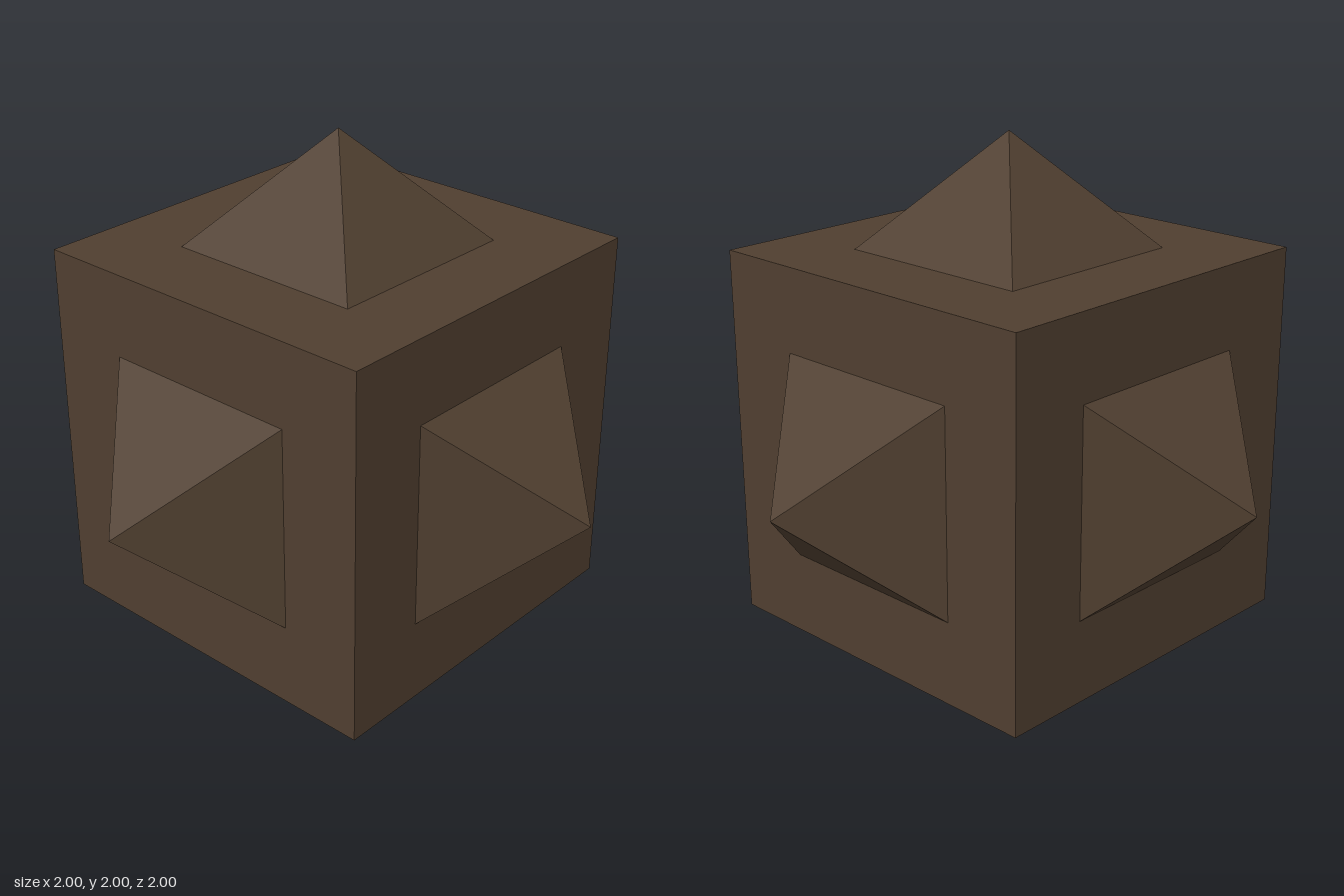
import * as THREE from 'three';

export function createModel() {
  const model = new THREE.Group();
  model.name = 'spikedCube';

  const darkBrown = new THREE.MeshStandardMaterial({ color: 0x503f30, flatShading: true });
  darkBrown.name = 'darkBrown';

  const half = 0.624;     // half the cube's edge
  const spikeHalf = 0.345; // half the spike's square base
  const spikeHeight = 1 - half;

  // Cube body
  const body = new THREE.Mesh(new THREE.BoxGeometry(2 * half, 2 * half, 2 * half), darkBrown);
  body.name = 'body';
  body.position.y = 1;
  model.add(body);

  // Four-sided spike, base on the cube face, pointing along +y
  const spikeGeometry = new THREE.ConeGeometry(spikeHalf * Math.SQRT2, spikeHeight, 4, 1, true);
  spikeGeometry.rotateY(Math.PI / 4);
  spikeGeometry.translate(0, half + spikeHeight / 2, 0);

  // One spike on each face
  const spikes = {
    topSpike: [0, 0],
    bottomSpike: [Math.PI, 0],
    frontSpike: [Math.PI / 2, 0],
    backSpike: [-Math.PI / 2, 0],
    leftSpike: [0, -Math.PI / 2],
    rightSpike: [0, Math.PI / 2],
  };
  for (const [name, [rx, rz]] of Object.entries(spikes)) {
    const spike = new THREE.Mesh(spikeGeometry, darkBrown);
    spike.name = name;
    spike.rotation.set(rx, 0, rz);
    spike.position.y = 1;
    model.add(spike);
  }

  return model;
}
